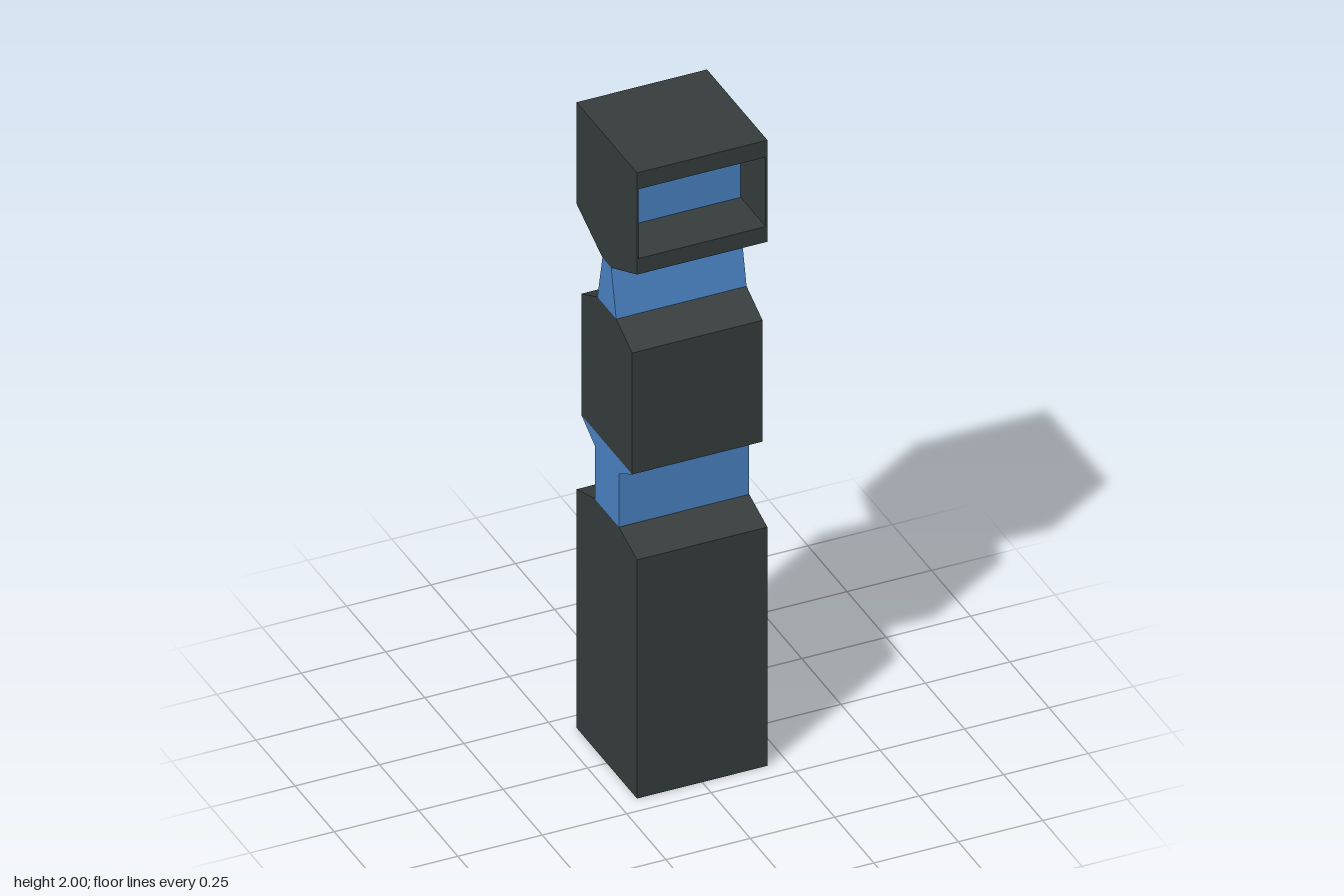
import * as THREE from 'three';

const HALF = 0.193; // half width in x
const WALL = 0.005; // thin side walls of the head

const dark = new THREE.MeshStandardMaterial({ color: 0x363d3c });
dark.name = 'charcoal';
const blue = new THREE.MeshStandardMaterial({ color: 0x4a83c4 });
blue.name = 'blue';

// Extrudes a front-to-back symmetric profile along x; half = [[z, y], ...] from bottom to top
function slab(name, half, material, x0 = -HALF, x1 = HALF) {
  const mirrored = half.map(([z, y]) => [-z, y]).reverse();
  const shape = new THREE.Shape([...half, ...mirrored].map(([z, y]) => new THREE.Vector2(z, y)));
  const geometry = new THREE.ExtrudeGeometry(shape, { depth: x1 - x0, bevelEnabled: false });
  geometry.rotateY(Math.PI / 2).translate(x0, 0, 0);
  const mesh = new THREE.Mesh(geometry, material);
  mesh.name = name;
  return mesh;
}

export function createModel() {
  const model = new THREE.Group();
  model.name = 'segmentedPillar';

  // Base block with sloped shoulders
  model.add(slab('base', [[HALF, 0], [HALF, 0.763], [0.077, 0.8]], dark));

  // Lower neck and the flared collar: blue ends, dark slopes
  model.add(slab('lowerNeck', [[0.077, 0.8], [0.077, 0.97]], blue));
  model.add(slab('collar', [[0.077, 0.97], [0.162, 1.018]], [blue, dark]));

  // Middle block and tapered upper neck
  model.add(slab('middleBlock', [[0.162, 1.018], [0.162, 1.406], [0.06, 1.455]], dark));
  model.add(slab('upperNeck', [[0.06, 1.455], [0.028, 1.6]], blue));

  // Head: recessed front and back, closed by thin side walls
  const head = new THREE.Group();
  head.name = 'head';
  const inner = HALF - WALL;
  const outline = [[0.028, 1.6], [HALF, 1.675], [HALF, 2]];
  const recessed = [
    [0.028, 1.6], [HALF, 1.675], [HALF, 1.725], [0.029, 1.725],
    [0.029, 1.947], [HALF, 1.947], [HALF, 2],
  ];
  head.add(slab('headCore', recessed, dark, -inner, inner));
  head.add(slab('leftWall', outline, dark, inner, HALF));
  head.add(slab('rightWall', outline, dark, -HALF, -inner));

  // Blue panels at the back of both recesses
  for (const side of [1, -1]) {
    const panel = new THREE.Mesh(new THREE.BoxGeometry(inner * 2, 0.222, 0.004), blue);
    panel.position.set(0, 1.836, side * 0.031);
    panel.name = side > 0 ? 'frontPanel' : 'backPanel';
    head.add(panel);
  }
  model.add(head);
  return model;
}
